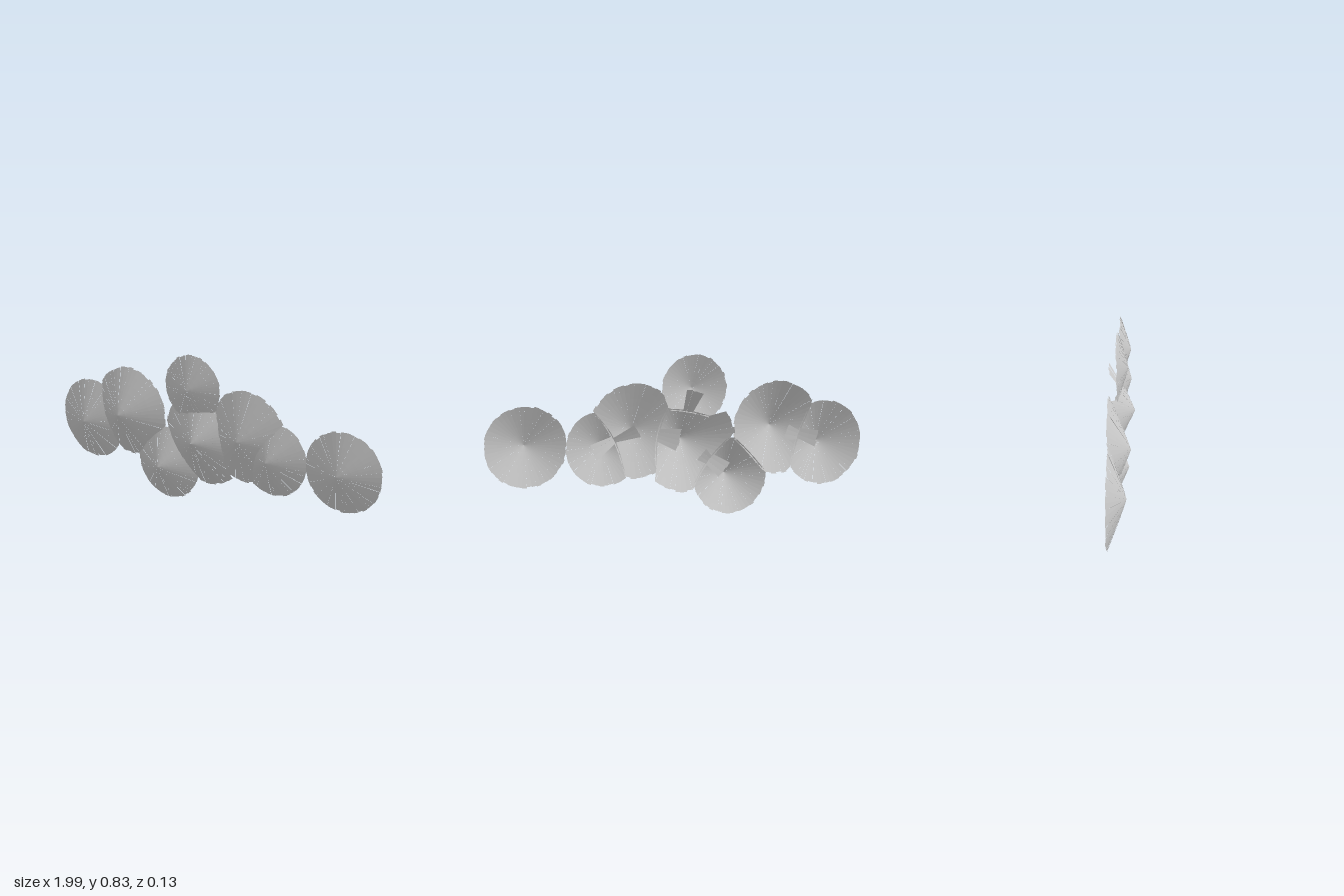
import * as THREE from 'three';

// Shallow ribbed caps: centre x, y, radius, tip z, rim z
const CAPS = {
  farLeftCap: { x: 0.8, y: 0.41, r: 0.2, tip: 0.034, rim: -0.034 },
  leftCap: { x: 0.42, y: 0.385, r: 0.193, tip: 0.033, rim: -0.038 },
  innerLeftCap: { x: 0.26, y: 0.46, r: 0.24, tip: 0.046, rim: -0.038 },
  middleCap: { x: 0, y: 0.4, r: 0.262, tip: 0.068, rim: -0.065 },
  topCap: { x: -0.055, y: 0.66, r: 0.175, tip: 0.035, rim: -0.02 },
  bottomCap: { x: -0.24, y: 0.205, r: 0.203, tip: 0.044, rim: -0.05 },
  innerRightCap: { x: -0.5, y: 0.445, r: 0.248, tip: 0.056, rim: -0.05 },
  farRightCap: { x: -0.77, y: 0.35, r: 0.23, tip: 0.042, rim: -0.042 },
};

// Loose flaps that run on behind a neighbour: cap, neighbour
const FLAPS = [
  ['leftCap', 'innerLeftCap'], ['innerLeftCap', 'leftCap'], ['innerLeftCap', 'middleCap'],
  ['middleCap', 'topCap'], ['bottomCap', 'middleCap'], ['middleCap', 'bottomCap'],
  ['farRightCap', 'innerRightCap'], ['innerRightCap', 'farRightCap'],
];

const WEDGES = 52, RINGS = 6, STEPS = 120;

function seeded(seed) {
  return () => {
    seed = (seed * 16807) % 2147483647;
    return seed / 2147483647;
  };
}

// Height of a cap at a fraction t of its radius
const heightAt = (cap, t) => cap.tip + (cap.rim - cap.tip) * Math.pow(t, 1.08);

// Fraction of the radius a spoke runs before it sinks behind another cap
function spokeLength(cap, angle) {
  for (let i = 1; i <= STEPS; i++) {
    const t = i / STEPS;
    const x = cap.x + Math.cos(angle) * cap.r * t;
    const y = cap.y + Math.sin(angle) * cap.r * t;
    const z = heightAt(cap, t);
    for (const other of Object.values(CAPS)) {
      if (other === cap) continue;
      const d = Math.hypot(x - other.x, y - other.y) / other.r;
      if (d < 0.97 && heightAt(other, d) > z) return Math.min(1, t + 0.02);
    }
  }
  return 1;
}

function capGeometry(name, seed) {
  const cap = CAPS[name], random = seeded(seed), positions = [];
  const flapAngles = FLAPS.filter(([from]) => from === name).map(([, to]) =>
    Math.atan2(CAPS[to].y - cap.y, CAPS[to].x - cap.x));
  const point = (angle, t, lift) => [
    cap.x + Math.cos(angle) * cap.r * t,
    cap.y + Math.sin(angle) * cap.r * t,
    heightAt(cap, t) + lift * t,
  ];
  for (let i = 0; i < WEDGES; i++) {
    const a = (i / WEDGES) * Math.PI * 2, b = ((i + 1) / WEDGES) * Math.PI * 2;
    const mid = (a + b) / 2;
    const isFlap = flapAngles.some((f) => Math.cos(mid - f) > Math.cos(0.2));
    // Each wedge gets its own stepped rim and slight tilt
    const edge = 0.965 + 0.035 * random(), lift = (random() - 0.5) * 0.004;
    const endA = isFlap ? edge : Math.min(edge, spokeLength(cap, a));
    const endB = isFlap ? edge : Math.min(edge, spokeLength(cap, b));
    for (let k = 0; k < RINGS; k++) {
      const s = k / RINGS, e = (k + 1) / RINGS;
      const p = point(a, endA * s, lift), q = point(a, endA * e, lift);
      const r = point(b, endB * e, lift), t = point(b, endB * s, lift);
      positions.push(...p, ...q, ...r);
      if (k > 0) positions.push(...p, ...r, ...t);
    }
  }
  const geometry = new THREE.BufferGeometry();
  geometry.setAttribute('position', new THREE.Float32BufferAttribute(positions, 3));
  geometry.computeVertexNormals();
  return geometry;
}

export function createModel() {
  const group = new THREE.Group();
  group.name = 'capCluster';
  const material = new THREE.MeshStandardMaterial({
    color: 0xcccccc, flatShading: true, side: THREE.DoubleSide,
  });
  Object.keys(CAPS).forEach((name, i) => {
    const mesh = new THREE.Mesh(capGeometry(name, 101 + i * 977), material);
    mesh.name = name;
    group.add(mesh);
  });
  return group;
}
